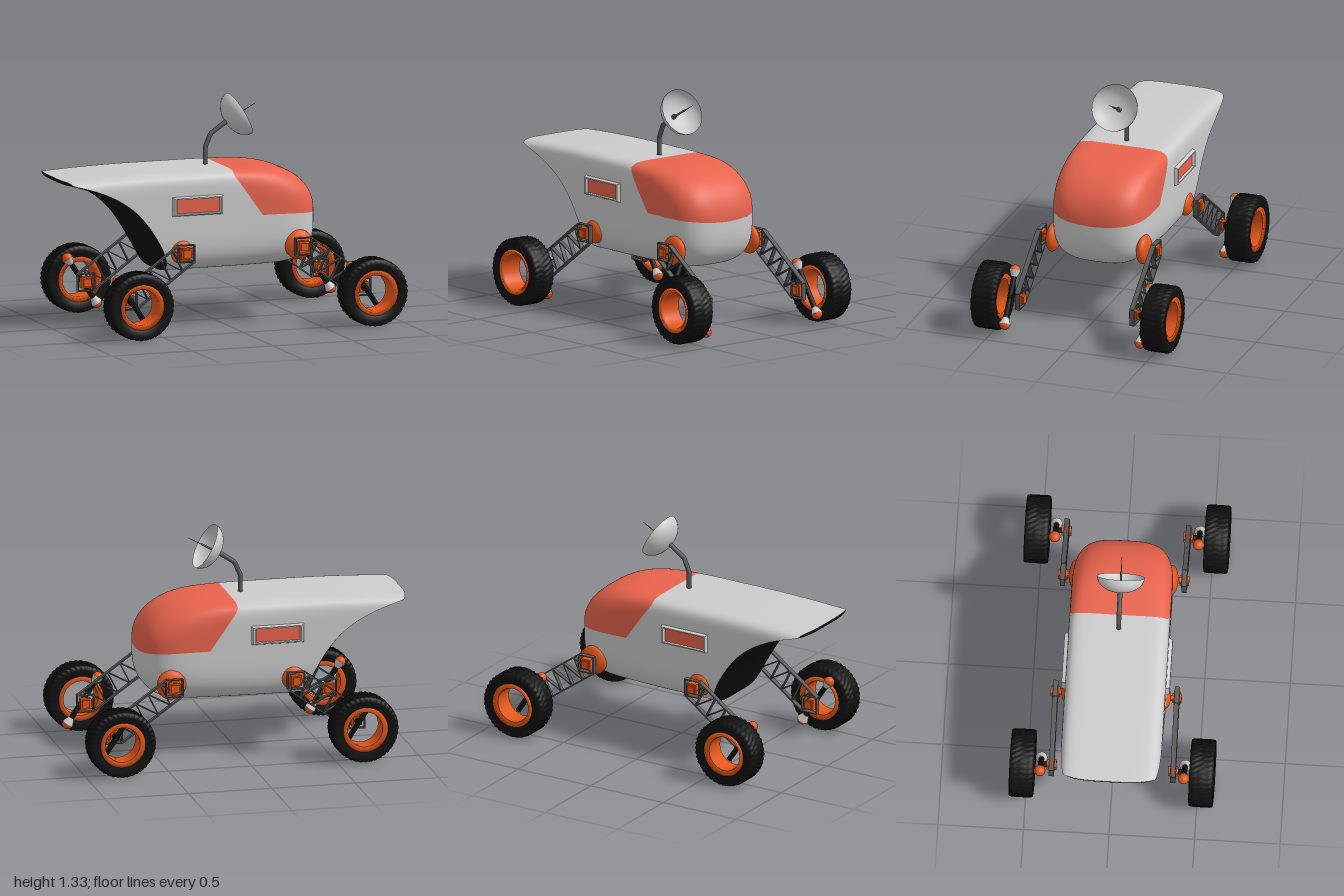
import * as THREE from 'three';

const mat = (color) => new THREE.MeshStandardMaterial({ color, side: THREE.DoubleSide });
const grey = mat(0xcccccc), coral = mat(0xe8634c), orange = mat(0xe2561a);
const black = mat(0x101010), steel = mat(0x5a5a5a), pale = mat(0xdddddd);

function add(parent, name, geo, material, x = 0, y = 0, z = 0) {
  const m = new THREE.Mesh(geo, material);
  m.name = name;
  m.position.set(x, y, z);
  parent.add(m);
  return m;
}

// Smooth surface from a rule p(u, v) -> [x, y, z]
function grid(rows, cols, p) {
  const pos = [], idx = [];
  for (let i = 0; i <= rows; i++) for (let j = 0; j <= cols; j++) {
    pos.push(...p(i / rows, j / cols));
    if (i < rows && j < cols) {
      const a = i * (cols + 1) + j, b = a + cols + 1;
      idx.push(a, a + 1, b, a + 1, b + 1, b);
    }
  }
  const g = new THREE.BufferGeometry();
  g.setAttribute('position', new THREE.Float32BufferAttribute(pos, 3));
  g.setIndex(idx);
  g.computeVertexNormals();
  return g;
}

// Hull cross-section: rounded box that closes into a blunt nose
const NOSE = 0.58, MID = 0.62, HALF = 0.295;
const closing = (x, start, p, q) => {
  const t = Math.min(1, Math.max(0, (x - start) / (NOSE - start)));
  return Math.pow(Math.max(0, 1 - t ** p), 1 / q);
};
const tailDrop = (x) => 0.02 * Math.max(0, (-x - 0.4) / 0.6) ** 2;
function section(x, a) {
  const c = Math.cos(a), s = Math.sin(a);
  const k = THREE.MathUtils.smoothstep(x, -0.1, 0.5);
  const n = s > 0 ? 9 - 5.8 * k : 4 - 0.8 * k;
  const r = Math.pow(Math.abs(c) ** n + Math.abs(s) ** n, -1 / n);
  const h = s > 0 ? 0.3 * closing(x, 0.1, 3, 2.2) : 0.29 * closing(x, 0.2, 4, 3);
  return [x, MID + h * r * s - tailDrop(x), HALF * closing(x, 0.2, 4, 3) * r * c];
}

// Curved tail cut and the slanted canopy edge
function tailX(y, z) {
  const h = Math.min(1, Math.max(0, (y - 0.33) / 0.57));
  return -0.38 - 0.62 * (0.52 * h + 0.48 * h ** 5) + 0.045 * Math.abs(z / HALF) ** 4;
}
const tailAt = (a) => { const [, y, z] = section(-0.3, a); return tailX(y, z); };
const canopyAt = (a) => 0.03 + 0.17 * Math.min(1, Math.max(0, (0.89 - section(-0.3, a)[1]) / 0.24));

function hullPatch(a0, a1, from, to, rows, ease) {
  return grid(rows, 40, (u, v) => {
    const a = a0 + (a1 - a0) * u, t = 1 - (1 - v) ** ease;
    return section(from(a) + (to(a) - from(a)) * t, a);
  });
}

function buildHull(parent) {
  const A = Math.atan(0.1), nose = () => NOSE;
  add(parent, 'lowerHull', hullPatch(-Math.PI - A, A, tailAt, nose, 110, 2.5), grey);
  add(parent, 'roof', hullPatch(A, Math.PI - A, tailAt, canopyAt, 100, 1), grey);
  add(parent, 'canopy', hullPatch(A, Math.PI - A, canopyAt, nose, 100, 2.5), coral);
  add(parent, 'tailPanel', grid(60, 24, (u, v) => {
    const [, y, zMax] = section(-0.3, (u - 0.5) * Math.PI);
    const z = zMax * (2 * v - 1), x = tailX(y, z);
    return [x, y - tailDrop(x), z];
  }), black);
}

function buildAntenna(parent) {
  const g = new THREE.Group();
  g.name = 'antenna';
  parent.add(g);
  const path = new THREE.CurvePath();
  const pts = [[-0.05, 0.9], [-0.05, 1.02], [-0.015, 1.1], [0.09, 1.17]].map(([x, y]) => new THREE.Vector3(x, y, 0));
  for (let i = 0; i < 3; i++) path.add(new THREE.LineCurve3(pts[i], pts[i + 1]));
  add(g, 'mast', new THREE.TubeGeometry(path, 30, 0.014, 12), steel);
  // Dish faces forward and up along its local y
  const dish = new THREE.Group();
  dish.name = 'dish';
  dish.position.set(0.162, 1.208, 0);
  dish.rotation.z = -1.07;
  g.add(dish);
  const profile = [];
  for (let i = 0; i <= 12; i++) {
    const t = (i / 12) * Math.PI / 2;
    profile.push(new THREE.Vector2(0.14 * Math.sin(t), -0.095 * Math.cos(t)));
  }
  add(dish, 'bowl', new THREE.LatheGeometry(profile, 24), grey);
  add(dish, 'feed', new THREE.CylinderGeometry(0.006, 0.006, 0.12, 8), steel, 0, -0.035, 0);
  add(dish, 'feedTip', new THREE.CylinderGeometry(0.0015, 0.003, 0.09, 6), steel, 0, 0.07, 0);
}

// Flat bar between two points in the xy plane
function bar(parent, name, a, b, thick, depth, z) {
  const dx = b[0] - a[0], dy = b[1] - a[1];
  const m = add(parent, name, new THREE.BoxGeometry(Math.hypot(dx, dy) + thick, thick, depth), steel,
    (a[0] + b[0]) / 2, (a[1] + b[1]) / 2, z);
  m.rotation.z = Math.atan2(dy, dx);
}

function buildArm(parent, top, low, s) {
  const g = new THREE.Group();
  g.name = 'suspensionArm';
  parent.add(g);
  const d = Math.sign(low[0] - top[0]), z = 0.355 * s, h = 0.05;
  const upper = (p) => [p[0] + d * h, p[1] + h], lower = (p) => [p[0] - d * h, p[1] - h];
  const mix = (p, q, t) => [p[0] + (q[0] - p[0]) * t, p[1] + (q[1] - p[1]) * t];
  bar(g, 'upperRail', upper(top), upper(low), 0.008, 0.03, z);
  bar(g, 'lowerRail', lower(top), lower(low), 0.008, 0.03, z);
  // Zigzag lattice
  const N = 10;
  const node = (i) => (i % 2 ? mix(upper(top), upper(low), i / N) : mix(lower(top), lower(low), i / N));
  for (let i = 0; i < N; i++) bar(g, 'lattice', node(i), node(i + 1), 0.006, 0.026, z);
  // Square end frames around the orange joints
  for (const [x, y] of [top, low]) {
    for (const e of [-h, h]) {
      bar(g, 'endFrame', [x - h, y + e], [x + h, y + e], 0.006, 0.03, z);
      bar(g, 'endFrame', [x + e, y - h], [x + e, y + h], 0.006, 0.03, z);
    }
    add(g, 'joint', new THREE.BoxGeometry(0.064, 0.064, 0.036), orange, x, y, z);
    add(g, 'jointCap', new THREE.BoxGeometry(0.046, 0.046, 0.056), orange, x, y, z);
  }
}

function buildWheel(parent, x, s) {
  const g = new THREE.Group();
  g.name = 'wheel';
  g.position.set(x, 0.2, 0);
  parent.add(g);
  const v = (r, y) => new THREE.Vector2(r, y);
  const treads = [-0.07, -0.055, -0.035, -0.018, 0, 0.018, 0.035, 0.055, 0.07].map((y) => v(Math.abs(y) > 0.06 ? 0.195 : 0.2, y));
  const tyre = new THREE.LatheGeometry([v(0.13, -0.066), v(0.17, -0.073), ...treads,
    v(0.17, 0.073), v(0.13, 0.066), v(0.125, 0.05), v(0.125, -0.05), v(0.13, -0.066)], 160);
  // Chevron grooves pressed into the tread
  const p = tyre.attributes.position;
  for (let i = 0; i < p.count; i++) {
    const r = Math.hypot(p.getX(i), p.getZ(i));
    if (r < 0.19) continue;
    const a = Math.atan2(p.getZ(i), p.getX(i)) + Math.abs(p.getY(i)) * 3;
    const k = Math.sin(a * 40) < -0.2 ? 0.975 : 1;
    p.setX(i, p.getX(i) * k);
    p.setZ(i, p.getZ(i) * k);
  }
  tyre.computeVertexNormals();
  add(g, 'tyre', tyre, black, 0, 0, 0.525 * s).rotation.x = Math.PI / 2;
  const rim = new THREE.LatheGeometry([v(0.104, -0.06), v(0.134, -0.07), v(0.134, 0.07), v(0.104, 0.06), v(0.104, -0.06)], 48);
  add(g, 'rim', rim.toNonIndexed(), orange, 0, 0, 0.525 * s).rotation.x = Math.PI / 2;
  // Axle stub and tilted double-ended damper
  add(g, 'axle', new THREE.CylinderGeometry(0.017, 0.017, 0.06, 12), black, 0, 0, 0.4 * s).rotation.x = Math.PI / 2;
  const damper = new THREE.Group();
  damper.name = 'damper';
  damper.position.z = 0.42 * s;
  damper.rotation.z = Math.atan2(0.092, 0.138);
  g.add(damper);
  add(damper, 'damperRod', new THREE.CylinderGeometry(0.016, 0.016, 0.3, 12), black);
  for (const e of [-1, 1]) {
    const end = new THREE.Group();
    end.name = 'damperEnd';
    end.position.y = 0.16 * e;
    end.rotation.z = e > 0 ? 0 : Math.PI;
    damper.add(end);
    add(end, 'cap', new THREE.SphereGeometry(0.032, 20, 10, 0, Math.PI * 2, 0, Math.PI / 2), orange, 0, 0.003, 0);
    add(end, 'socket', new THREE.CylinderGeometry(0.034, 0.018, 0.04, 20), pale, 0, -0.017, 0);
  }
}

function buildWindow(parent, s) {
  const rect = (C, w, h) => new C([[-w, -h], [w, -h], [w, h], [-w, h]].map(([x, y]) => new THREE.Vector2(x, y)));
  const shape = rect(THREE.Shape, 0.142, 0.044);
  shape.holes.push(rect(THREE.Path, 0.136, 0.04));
  // Sloped outer frame built as a four-sided tapered ring
  const ring = (w, h, z) => [[-w, -h, z], [w, -h, z], [w, h, z], [-w, h, z], [-w, -h, z]];
  const loops = [ring(0.16, 0.06, 0), ring(0.15, 0.05, 0.03), ring(0.138, 0.043, 0.03), ring(0.13, 0.04, 0.014)];
  const frame = grid(3, 4, (u, v) => {
    const [x, y, z] = loops[Math.round(u * 3)][Math.round(v * 4)];
    return [x, y, z * s];
  }).toNonIndexed();
  frame.computeVertexNormals();
  add(parent, 'windowFrame', frame, grey, -0.205, 0.73, 0.286 * s);
  add(parent, 'windowPane', new THREE.BoxGeometry(0.268, 0.082, 0.01), coral, -0.205, 0.73, 0.297 * s);
}

export function createModel() {
  const model = new THREE.Group();
  model.name = 'rover';
  buildHull(model);
  buildAntenna(model);
  for (const s of [1, -1]) {
    buildWindow(model, s);
    for (const [top, low, r] of [[[-0.3, 0.46], [-0.66, 0.2], 0.07], [[0.43, 0.46], [0.795, 0.2], 0.088]]) {
      // Domed mount on the hull and its pivot
      add(model, 'mountDome', new THREE.SphereGeometry(r, 28, 18), orange, top[0], top[1], 0.28 * s).scale.z = 0.04 / r;
      add(model, 'pivot', new THREE.CylinderGeometry(0.018, 0.018, 0.07, 12), orange, top[0], top[1], 0.325 * s).rotation.x = Math.PI / 2;
      buildArm(model, top, low, s);
      buildWheel(model, low[0], s);
    }
  }
  return model;
}
